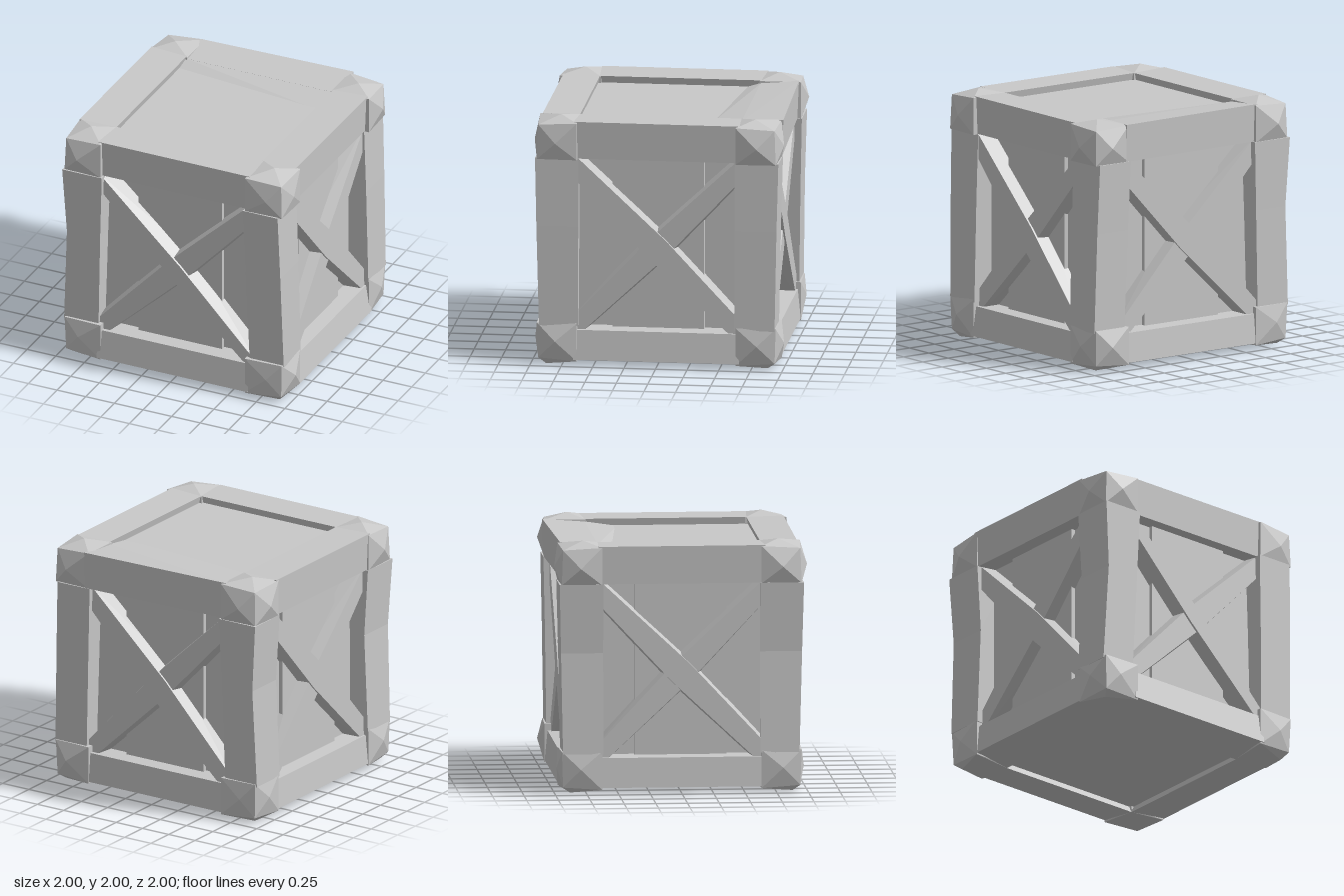
import * as THREE from 'three';
import { ConvexGeometry } from 'three/addons/geometries/ConvexGeometry.js';

const grey = new THREE.MeshStandardMaterial({ color: 0xc8c8c8 });
grey.name = 'plain grey';

// faceted solid around a few points
function solid(name, points) {
  const mesh = new THREE.Mesh(new ConvexGeometry(points.map((p) => new THREE.Vector3(...p))), grey);
  mesh.name = name;
  return mesh;
}

// Diagonal plank: widest at the middle, sides sloping down to the panel
function brace(name, lean, out, topHalf) {
  const d = Math.SQRT1_2;
  const points = [];
  for (const [at, taper] of [[-1, 0.66], [0, 1], [1, 0.66]]) {
    for (const side of [-1, 1]) {
      for (const [half, z] of [[topHalf, out], [0.125, 0.76]]) {
        const w = half * taper * side;
        points.push([lean * d * (w - at), 0.953 + d * (at + w), z]);
      }
    }
  }
  return solid(name, points);
}

// One upright face of the crate, built facing +z
function createSide({ topOut, topOutEnd, lowOut, innerTop, ridge }) {
  const side = new THREE.Group();
  const top = [];
  const bottom = [];
  for (const x of [-0.66, 0.66]) {
    const out = x < 0 ? topOut : topOutEnd;
    top.push([x, 1.97, out], [x, 1.67, out - 0.012], [x, innerTop, 0.64], [x, 1.685, 0.7]);
    bottom.push([x, 0.05, lowOut], [x, 0.285, 0.932], [x, 0.012, 0.64], [x, 0.3, 0.72]);
  }
  side.add(solid('topBeam', top), solid('bottomBeam', bottom));
  side.add(brace('mainBrace', 1, 0.918, ridge), brace('crossBrace', -1, 0.905, 0.095));

  // raised middle plank of the sunken panel
  const plank = new THREE.Mesh(new THREE.BoxGeometry(0.73, 1.5, 0.05), grey);
  plank.position.set(0, 0.97, 0.79);
  plank.name = 'middlePlank';
  side.add(plank);
  return side;
}

// Corner post in two lengths, so that its outer faces can pinch at mid height
function createPost(sx, sz) {
  const post = new THREE.Group();
  post.name = 'cornerPost';
  const rows = [
    { y: 0.32, x: sx > 0 ? 0.957 : 0.96, z: sz > 0 ? 0.93 : 0.94, inner: 0.66 },
    { y: 1.12, x: sx > 0 ? 0.938 : 0.925, z: 0.953, inner: 0.635 },
    { y: 1.67, x: sx > 0 ? 0.92 : 0.96, z: 0.966, inner: 0.615 },
  ];
  for (let i = 0; i < 2; i++) {
    const points = [];
    for (const { y, x, z, inner } of [rows[i], rows[i + 1]]) {
      points.push([sx * x, y, sz * z], [sx * inner, y, sz * z], [sx * x, y, sz * 0.62]);
      points.push([sx * (inner + 0.02), y, sz * 0.64]);
    }
    post.add(solid('postLength', points));
  }
  return post;
}

// Chipped corner cap with one blunt peak on each outer face
function createCap(sx, sy, sz, [px, py, pz]) {
  const rim = 0.958;
  const low = sy > 0 ? 0.665 : 0.66;
  const tall = sy > 0 ? 0.962 : 0.965;
  const points = [];
  for (const x of [0.63, rim]) {
    for (const z of [0.63, rim]) {
      const chip = x === rim && z === rim ? 0.02 : 0;
      points.push([x - chip / 2, low, z - chip / 2], [x - chip, tall - chip, z - chip]);
    }
  }
  points.push([px, 0.8, 0.8], [0.82, 0.8, pz]);
  points.push(sy > 0 ? [0.8, py, 0.77] : [0.9, py, 0.88]);
  if (sy < 0) points.push([0.64, 0.988, 0.64]);
  return solid('cornerCap', points.map(([x, y, z]) => [x * sx, 1 + y * sy, z * sz]));
}

export function createModel() {
  const model = new THREE.Group();
  model.name = 'crate';

  // core: sunken side panels, lid and floor
  const core = new THREE.Mesh(new THREE.BoxGeometry(1.56, 1.85, 1.56), grey);
  core.position.y = 0.985;
  core.name = 'corePanels';
  model.add(core);

  // the lid climbs to the back beam
  const ramp = [];
  for (const [x, start] of [[-0.66, -0.52], [0.66, -0.38]]) {
    ramp.push([x, 1.905, start], [x, 1.945, -0.645], [x, 1.905, -0.7], [x, 1.85, -0.5]);
  }
  model.add(solid('lidRamp', ramp));

  // front, left, back and right faces
  const sides = [
    ['frontSide', { topOut: 0.93, topOutEnd: 0.935, lowOut: 0.968, innerTop: 1.965, ridge: 0.07 }],
    ['leftSide', { topOut: 0.93, topOutEnd: 0.935, lowOut: 0.968, innerTop: 1.965, ridge: 0.1 }],
    ['backSide', { topOut: 0.975, topOutEnd: 0.94, lowOut: 0.955, innerTop: 1.945, ridge: 0.1 }],
    ['rightSide', { topOut: 0.955, topOutEnd: 0.955, lowOut: 0.955, innerTop: 1.965, ridge: 0.1 }],
  ];
  sides.forEach(([name, sizes], i) => {
    const side = createSide(sizes);
    side.name = name;
    side.rotation.y = (i * Math.PI) / 2;
    model.add(side);
  });

  // posts, and peak reach in x, y, z of each corner cap
  const corners = [
    [-1, 1, [1, 1, 1], [0.99, 0.99, 0.975]],
    [1, 1, [0.985, 1, 0.98], [1, 1, 0.975]],
    [1, -1, [1, 1, 1], [0.99, 0.99, 1]],
    [-1, -1, [1, 1, 1], [0.985, 0.99, 0.98]],
  ];
  for (const [sx, sz, upper, lower] of corners) {
    model.add(createPost(sx, sz), createCap(sx, 1, sz, upper), createCap(sx, -1, sz, lower));
  }
  return model;
}
